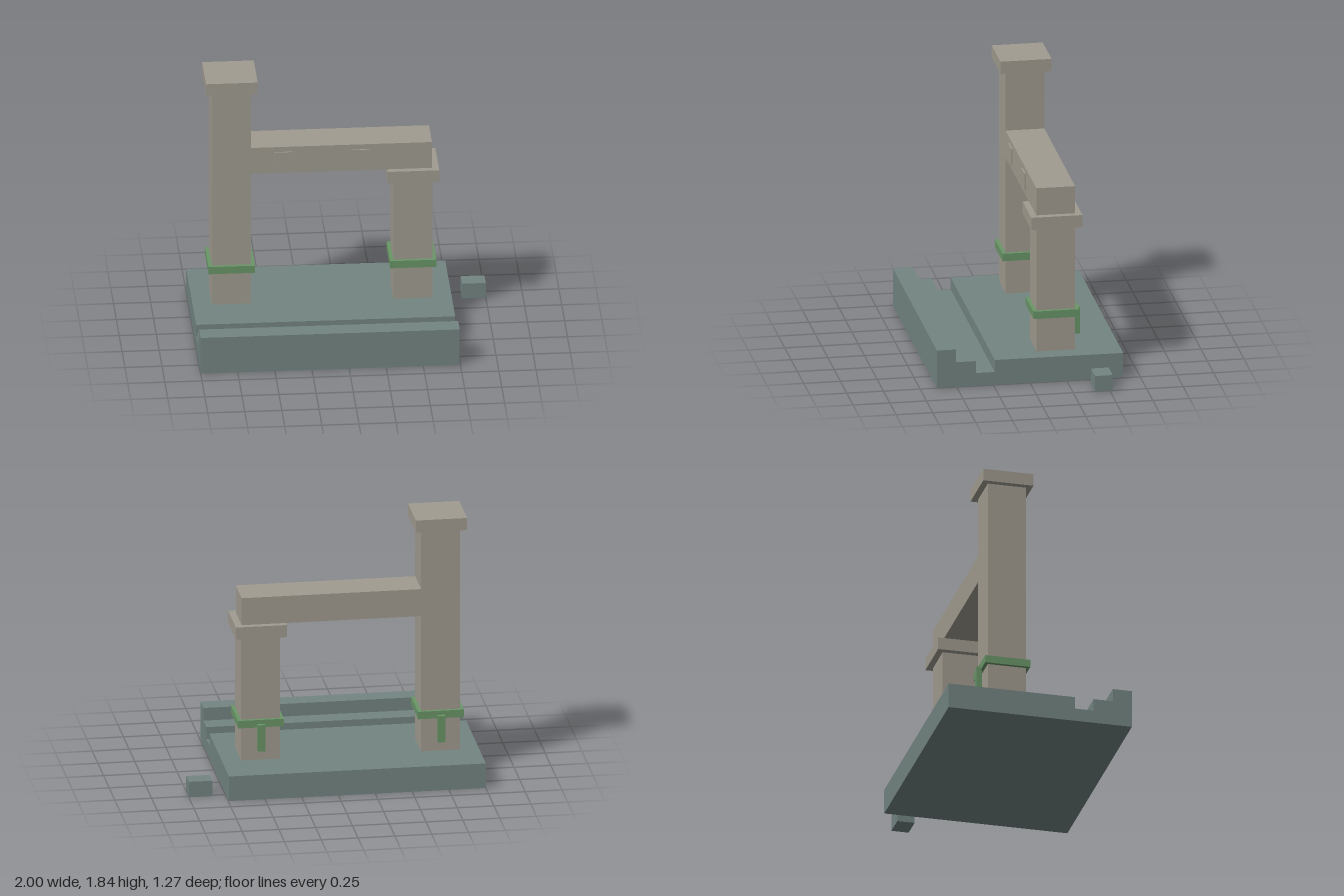
import * as THREE from 'three';

const material = (name, color) => {
  const m = new THREE.MeshStandardMaterial({ color });
  m.name = name;
  return m;
};

export function createModel() {
  const model = new THREE.Group();
  model.name = 'stoneGate';
  const stone = material('warm stone', 0xa19c90);
  const slate = material('slate', 0x738582);
  const green = material('green rope', 0x6a9668);

  // Box given by its lower and upper limits on each axis
  const box = (parent, name, mat, [x0, x1], [y0, y1], [z0, z1]) => {
    const mesh = new THREE.Mesh(new THREE.BoxGeometry(x1 - x0, y1 - y0, z1 - z0), mat);
    mesh.position.set((x0 + x1) / 2, (y0 + y1) / 2, (z0 + z1) / 2);
    mesh.name = name;
    parent.add(mesh);
  };

  // Base: stepped side profile (z, y) extruded along x
  const profile = new THREE.Shape([
    [-0.635, 0], [0.635, 0], [0.635, 0.265], [0.503, 0.265], [0.503, 0.175],
    [0.37, 0.175], [0.37, 0.09], [0.24, 0.09], [0.24, 0.175], [-0.635, 0.175],
  ].map(([z, y]) => new THREE.Vector2(-z, y)));
  const baseGeometry = new THREE.ExtrudeGeometry(profile, { depth: 1.745, bevelEnabled: false });
  baseGeometry.rotateY(Math.PI / 2).translate(-1, 0, 0);
  const base = new THREE.Mesh(baseGeometry, slate);
  base.name = 'base';
  model.add(base);

  // Loose block beside the base
  box(model, 'looseBlock', slate, [0.84, 1], [0, 0.11], [-0.52, -0.4]);

  // Pillars with cap, rope band and hanging rope end at the back
  const zc = -0.198;
  const around = (c, half) => [c - half, c + half];
  for (const [name, x, top] of [['tallPillar', -0.739, 1.75], ['shortPillar', 0.484, 1.053]]) {
    const pillar = new THREE.Group();
    pillar.name = name;
    box(pillar, 'shaft', stone, around(x, 0.132), [0.175, top], around(zc, 0.132));
    box(pillar, 'cap', stone, around(x, 0.174), [top, top + 0.086], around(zc, 0.174));
    box(pillar, 'band', green, around(x, 0.156), [0.413, 0.466], around(zc, 0.156));
    box(pillar, 'ropeEnd', green, around(x, 0.026), [0.25, 0.437], [-0.38, -0.345]);
    model.add(pillar);
  }

  // Cross beam with two raised plates on its front
  box(model, 'beam', stone, [-0.607, 0.612], [1.139, 1.331], around(zc, 0.132));
  for (const x of [-0.391, 0.135]) {
    box(model, 'beamPlate', stone, around(x, 0.06), [1.175, 1.295], [-0.068, -0.056]);
  }
  return model;
}
